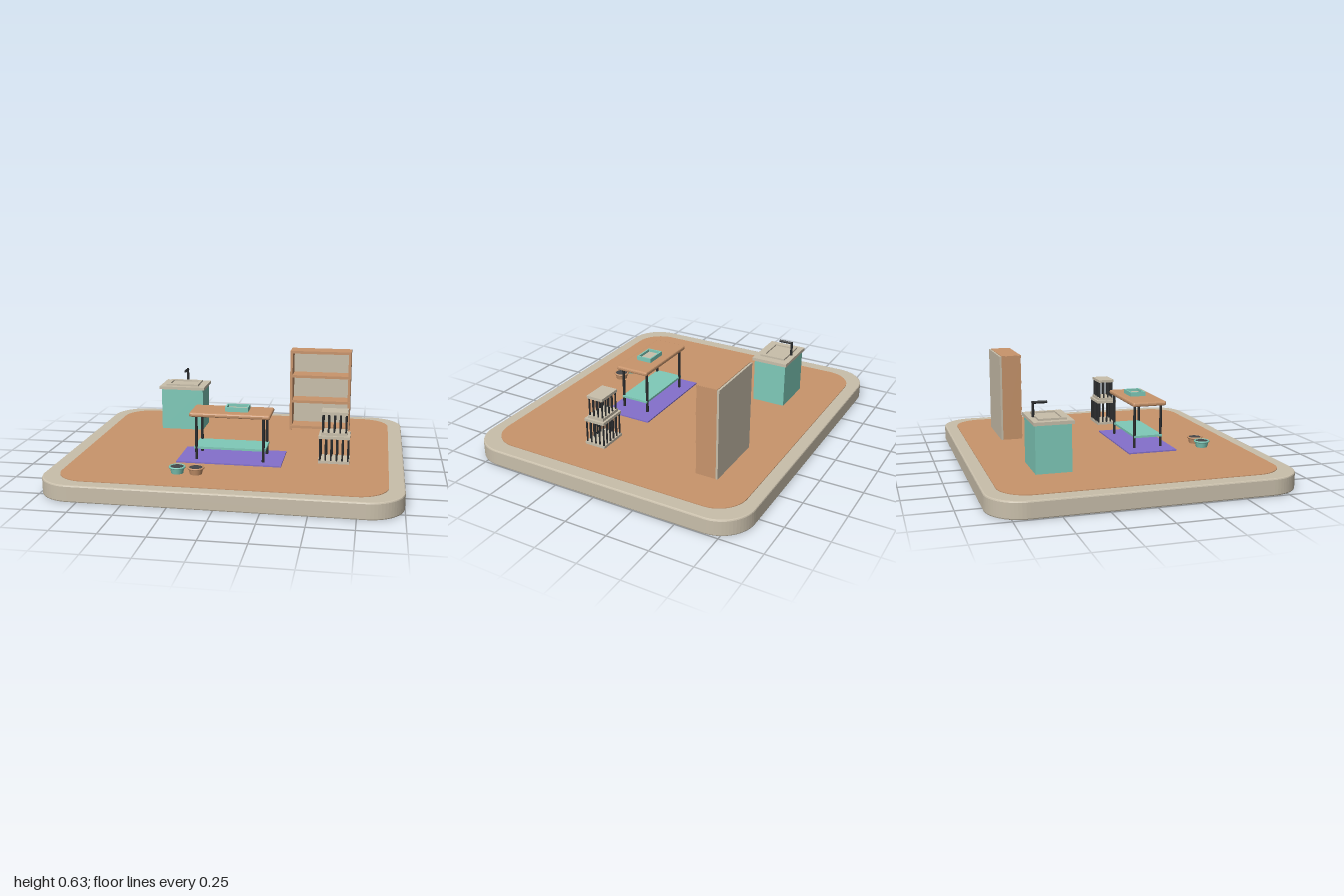
import * as THREE from 'three';

const mat = (name, color) => Object.assign(new THREE.MeshStandardMaterial({ color }), { name });

export function createModel() {
  const cream = mat('cream', 0xc9bfab), wood = mat('wood', 0xc9956c), mint = mat('mint', 0x7fcab9);
  const dark = mat('black metal', 0x2a2c2e), purple = mat('purple', 0x8470cc), soil = mat('charcoal', 0x444648);
  const root = new THREE.Group();
  root.name = 'playRoom';

  const group = (name) => {
    const g = new THREE.Group();
    g.name = name;
    root.add(g);
    return g;
  };
  const add = (parent, name, geo, material) => {
    const m = new THREE.Mesh(geo, material);
    m.name = name;
    parent.add(m);
    return m;
  };
  // Box given by its minimum and maximum on each axis
  const box = (parent, name, material, x0, x1, y0, y1, z0, z1) => {
    const m = add(parent, name, new THREE.BoxGeometry(x1 - x0, y1 - y0, z1 - z0), material);
    m.position.set((x0 + x1) / 2, (y0 + y1) / 2, (z0 + z1) / 2);
    return m;
  };
  const post = (parent, name, material, x, y0, y1, z, r, sides = 8) => {
    const m = add(parent, name, new THREE.CylinderGeometry(r, r, y1 - y0, sides), material);
    m.position.set(x, (y0 + y1) / 2, z);
    return m;
  };
  // Four walls around an open rectangle
  const frame = (parent, name, material, x0, x1, y0, y1, z0, z1, t) => {
    box(parent, name, material, x0, x1, y0, y1, z0, z0 + t);
    box(parent, name, material, x0, x1, y0, y1, z1 - t, z1);
    box(parent, name, material, x0, x0 + t, y0, y1, z0 + t, z1 - t);
    box(parent, name, material, x1 - t, x1, y0, y1, z0 + t, z1 - t);
  };
  // Horizontal rounded slab with softened edges
  const slab = (parent, name, material, hw, hd, r, y0, y1, bevel) => {
    const w = hw - bevel, d = hd - bevel, c = r - bevel, s = new THREE.Shape();
    s.absarc(w - c, d - c, c, 0, Math.PI / 2);
    s.absarc(-w + c, d - c, c, Math.PI / 2, Math.PI);
    s.absarc(-w + c, -d + c, c, Math.PI, Math.PI * 1.5);
    s.absarc(w - c, -d + c, c, Math.PI * 1.5, Math.PI * 2);
    const geo = new THREE.ExtrudeGeometry(s, {
      depth: y1 - y0 - 2 * bevel, bevelEnabled: bevel > 0, bevelSize: bevel,
      bevelThickness: bevel, bevelSegments: 2, curveSegments: 8,
    });
    geo.rotateX(-Math.PI / 2);
    geo.translate(0, y0 + bevel, 0);
    return add(parent, name, geo, material);
  };

  // Platform
  const platform = group('platform');
  slab(platform, 'base', cream, 1, 0.862, 0.2, 0, 0.097, 0.008);
  slab(platform, 'floor', wood, 0.913, 0.787, 0.17, 0.09, 0.101, 0);

  // Sink unit
  const sink = group('sink');
  box(sink, 'cabinet', mint, -0.573, -0.297, 0.1, 0.37, -0.54, -0.336);
  box(sink, 'counter', cream, -0.585, -0.285, 0.37, 0.389, -0.549, -0.324);
  frame(sink, 'basinRim', cream, -0.547, -0.333, 0.387, 0.4, -0.515, -0.358, 0.022);
  box(sink, 'basinFloor', cream, -0.525, -0.355, 0.387, 0.391, -0.493, -0.38);
  post(sink, 'faucetPost', dark, -0.436, 0.388, 0.476, -0.52, 0.008);
  const spout = post(sink, 'faucetSpout', dark, -0.436, 0.427, 0.512, -0.483, 0.008);
  spout.rotation.x = Math.PI / 2;

  // Bookcase
  const bookcase = group('bookcase');
  box(bookcase, 'backPanel', cream, 0.267, 0.661, 0.1, 0.628, -0.572, -0.56);
  for (const x of [0.267, 0.645]) box(bookcase, 'sidePanel', wood, x, x + 0.016, 0.1, 0.63, -0.56, -0.44);
  for (const y of [0.113, 0.286, 0.454, 0.614]) {
    box(bookcase, 'shelf', wood, 0.27, 0.658, y, y + 0.017, -0.56, -0.436);
  }

  // Rug
  box(root, 'rug', purple, -0.308, 0.305, 0.1, 0.109, 0.08, 0.38);

  // Table, with its top softened along the edge
  const table = group('table');
  const top = slab(table, 'tableTop', wood, 0.237, 0.105, 0.012, 0.366, 0.391, 0.008);
  top.position.set(-0.002, 0, 0.233);
  for (const x of [-0.199, 0.195]) {
    for (const z of [0.15, 0.316]) post(table, 'leg', dark, x, 0.105, 0.368, z, 0.0085);
  }
  box(table, 'lowerShelf', mint, -0.214, 0.208, 0.172, 0.185, 0.146, 0.32);

  // Tray
  const tray = group('tray');
  frame(tray, 'trayWall', mint, -0.037, 0.098, 0.391, 0.417, 0.181, 0.277, 0.009);
  box(tray, 'trayFloor', cream, -0.028, 0.089, 0.391, 0.401, 0.19, 0.268);

  // Stacked cages: two slabs joined by bars round the edge
  const cage = (name, x0, x1, y0, y1, z0, z1, nx, nz) => {
    const g = group(name), t = 0.017, inset = 0.009;
    box(g, 'cageFloor', cream, x0, x1, y0, y0 + t, z0, z1);
    box(g, 'cageRoof', cream, x0, x1, y1 - t, y1, z0, z1);
    const a = x0 + inset, b = x1 - inset, c = z0 + inset, d = z1 - inset;
    const bar = (x, z) => post(g, 'cageBar', dark, x, y0 + t, y1 - t, z, 0.0055, 6);
    for (let i = 0; i < nx; i++) {
      const x = a + ((b - a) * i) / (nx - 1);
      bar(x, c);
      bar(x, d);
    }
    for (let i = 1; i < nz - 1; i++) {
      const z = c + ((d - c) * i) / (nz - 1);
      bar(a, z);
      bar(b, z);
    }
  };
  cage('lowerCage', 0.508, 0.688, 0.1, 0.265, 0.133, 0.263, 6, 5);
  cage('upperCage', 0.521, 0.673, 0.265, 0.405, 0.146, 0.249, 5, 4);

  // Pots
  const pot = (name, material, x) => {
    const g = group(name);
    g.position.set(x, 0.1, 0.563);
    const body = add(g, 'potBody', new THREE.CylinderGeometry(0.042, 0.034, 0.036, 16), material);
    body.position.y = 0.018;
    const rim = add(g, 'potRim', new THREE.TorusGeometry(0.042, 0.006, 8, 24), material);
    rim.rotation.x = Math.PI / 2;
    rim.position.y = 0.036;
    const fill = add(g, 'potFill', new THREE.CylinderGeometry(0.037, 0.037, 0.006, 20), soil);
    fill.position.y = 0.036;
  };
  pot('mintPot', mint, -0.257);
  pot('woodPot', wood, -0.15);

  return root;
}
